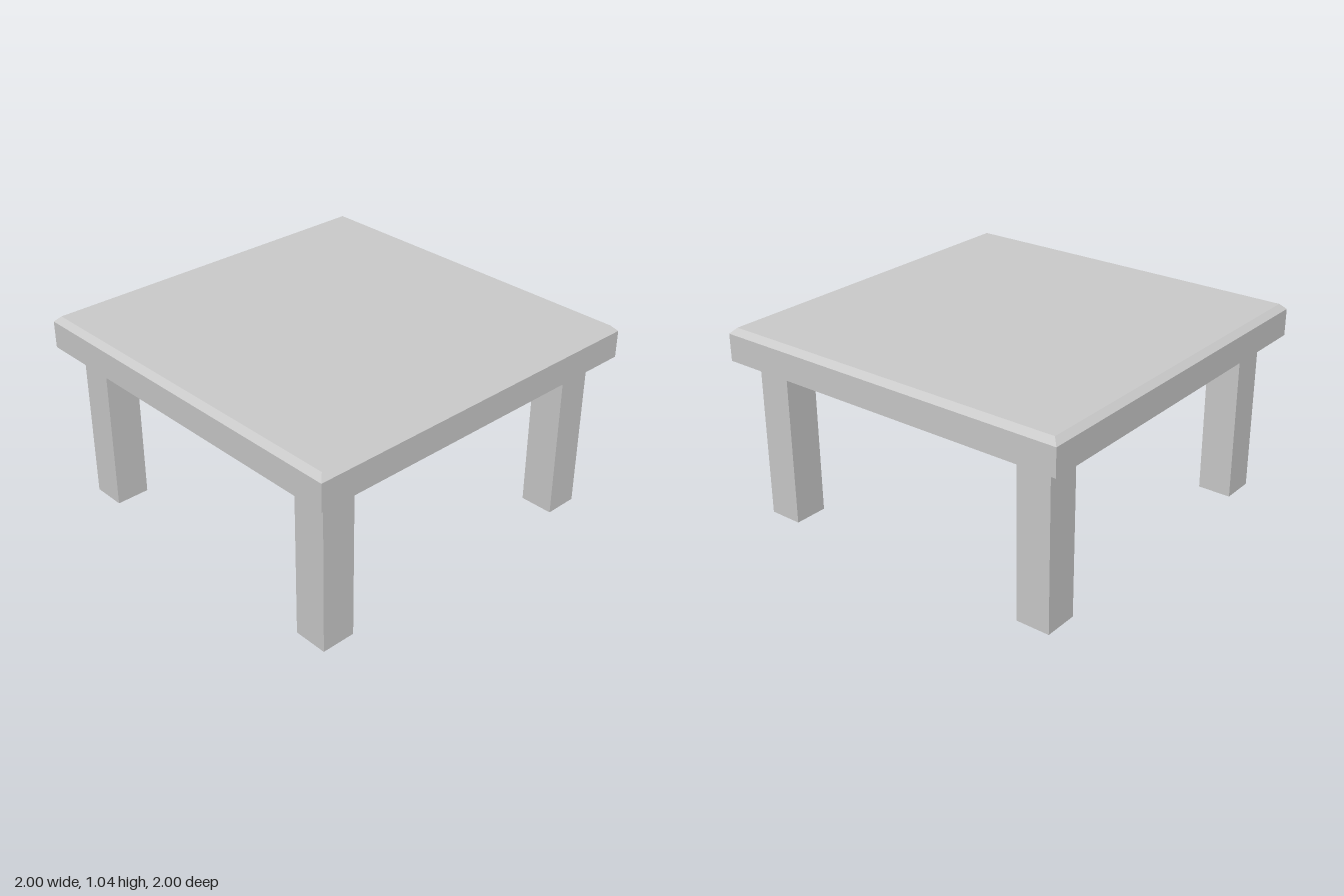
import * as THREE from 'three';

const BOTTOM = 0.87, SHOULDER = 1.015, TOP = 1.045, BEVEL = 0.03;
const LEG_WIDTH = 0.185, LEG_OFFSET = 0.81;

// Square slab whose upper edge is chamfered on all four sides
function chamferedSlab() {
  const geometry = new THREE.BoxGeometry(2, 2, 2, 1, 2, 1);
  const p = geometry.attributes.position;
  for (let i = 0; i < p.count; i++) {
    const level = Math.round(p.getY(i)); // -1 bottom, 0 shoulder, 1 top
    const half = level === 1 ? 1 - BEVEL : 1;
    const y = [BOTTOM, SHOULDER, TOP][level + 1];
    p.setXYZ(i, Math.sign(p.getX(i)) * half, y, Math.sign(p.getZ(i)) * half);
  }
  geometry.computeVertexNormals();
  return geometry;
}

export function createModel() {
  const table = new THREE.Group();
  table.name = 'table';
  const material = new THREE.MeshStandardMaterial({ color: 0xcccccc, flatShading: true });

  const tabletop = new THREE.Mesh(chamferedSlab(), material);
  tabletop.name = 'tabletop';
  table.add(tabletop);

  // Four square legs, mirrored in x and z
  const legGeometry = new THREE.BoxGeometry(LEG_WIDTH, BOTTOM, LEG_WIDTH);
  for (const [side, x] of [['Left', 1], ['Right', -1]]) {
    for (const [end, z] of [['front', 1], ['back', -1]]) {
      const leg = new THREE.Mesh(legGeometry, material);
      leg.name = `${end}${side}Leg`;
      leg.position.set(x * LEG_OFFSET, BOTTOM / 2, z * LEG_OFFSET);
      table.add(leg);
    }
  }
  return table;
}
